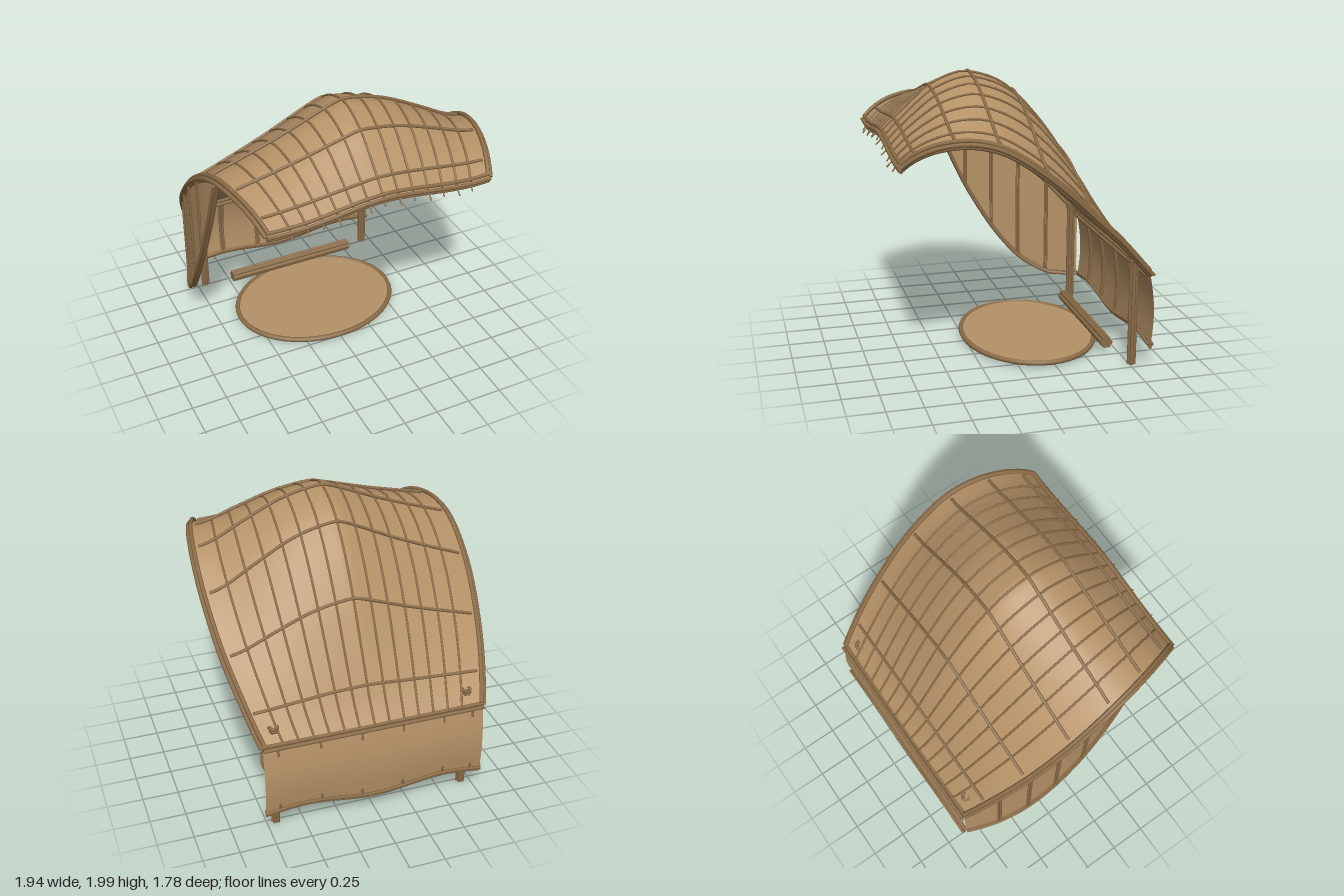
import * as THREE from 'three';
import { ParametricGeometry } from 'three/addons/geometries/ParametricGeometry.js';

const V = (x, y, z) => new THREE.Vector3(x, y, z);

// smooth interpolation through [position, value] pairs in rising order
function profile(pts) {
  const slope = (i) => {
    const a = pts[Math.max(i - 1, 0)], b = pts[Math.min(i + 1, pts.length - 1)];
    return (b[1] - a[1]) / (b[0] - a[0]);
  };
  return (x) => {
    let i = 0;
    while (i < pts.length - 2 && x > pts[i + 1][0]) i++;
    const [x0, y0] = pts[i], [x1, y1] = pts[i + 1];
    const h = x1 - x0, t = Math.min(Math.max((x - x0) / h, 0), 1), t2 = t * t, t3 = t2 * t;
    return y0 * (2 * t3 - 3 * t2 + 1) + h * slope(i) * (t3 - 2 * t2 + t)
      + y1 * (3 * t2 - 2 * t3) + h * slope(i + 1) * (t3 - t2);
  };
}

// canopy shape: ridge line, side edge, crossways bump and half width, all along z
const BACK = -0.85, FRONT = 0.83;
const ridge = profile([[-0.85, 0.69], [-0.75, 0.82], [-0.6, 1.09], [-0.41, 1.43], [-0.2, 1.72],
  [0, 1.895], [0.22, 1.97], [0.33, 1.96], [0.5, 1.885], [0.6, 1.8], [0.74, 1.66], [0.83, 1.56]]);
const edge = profile([[-0.85, 0.68], [-0.6, 0.955], [-0.4, 1.145], [-0.2, 1.335], [0, 1.495],
  [0.2, 1.62], [0.4, 1.67], [0.6, 1.65], [0.75, 1.59], [0.83, 1.53]]);
const bump = profile([[-1, 0], [-0.63, 0.34], [-0.42, 0.55], [-0.04, 0.97], [0.04, 1],
  [0.32, 0.83], [0.63, 0.43], [0.84, 0.13], [1, 0]]);
const halfWidth = (z) => 0.95 - 0.165 * (z / 0.84) ** 2;
const lower = profile([[-0.85, 0.165], [-0.7, 0.165], [-0.6, 0.185], [-0.4, 0.31], [-0.2, 0.545],
  [0, 0.87], [0.1, 1.07], [0.2, 1.3], [0.32, 1.63]]);

function roof(u, z, lift = 0) {
  const x = u * halfWidth(z);
  const wave = 0.02 * Math.cos(Math.PI * x / 0.6) * Math.exp((z - FRONT) / 0.1);
  return V(x, edge(z) + (ridge(z) - edge(z)) * bump(u) + wave + lift, z);
}
// back panel: x across, t from top (0) to bottom (1)
function back(x, t, dz = 0) {
  const bottom = 0.163 - 0.025 * Math.cos(Math.PI * x / 0.5);
  return V(x, 0.67 + (bottom - 0.67) * t, -0.85 - 0.025 * Math.sin(Math.PI * t) - 0.018 * t + dz);
}

export function createModel() {
  const model = new THREE.Group();
  const panelMat = new THREE.MeshStandardMaterial({ color: 0xb59267, side: THREE.DoubleSide });
  panelMat.name = 'woven tan';
  const caneMat = new THREE.MeshStandardMaterial({ color: 0x8c6d48 });
  caneMat.name = 'cane brown';

  const add = (name, geo, mat, parent = model) => {
    const m = new THREE.Mesh(geo, mat);
    m.name = name;
    parent.add(m);
    return m;
  };
  const group = (name) => {
    const g = new THREE.Group();
    g.name = name;
    model.add(g);
    return g;
  };
  const sheet = (name, fn, nu, nv) =>
    add(name, new ParametricGeometry((a, b, out) => out.copy(fn(a, b)), nu, nv), panelMat);
  // capped cane following fn(t), t from 0 to 1
  const cane = (name, fn, r, parent, n = 36) => {
    const pts = Array.from({ length: n + 1 }, (_, i) => fn(i / n));
    add(name, new THREE.TubeGeometry(new THREE.CatmullRomCurve3(pts), n, r, 7), caneMat, parent);
    for (const [p, q] of [[pts[0], pts[1]], [pts[n], pts[n - 1]]]) {
      const cap = add(name + 'End', new THREE.CircleGeometry(r, 7), caneMat, parent);
      cap.position.copy(p);
      cap.lookAt(p.clone().multiplyScalar(2).sub(q));
    }
  };
  const bundle = (name, fn, offsets, r, parent, n) =>
    offsets.forEach((o) => cane(name, (t) => fn(t).add(V(...o)), r, parent, n));
  const zAt = (t) => THREE.MathUtils.lerp(BACK, FRONT, t);

  // canopy sheet
  sheet('canopy', (a, b) => roof(2 * a - 1, zAt(b)), 40, 40);

  // canopy ribs, lengthways and crossways
  const ribs = group('canopyRibs');
  for (let i = 0; i < 13; i++) {
    const u = -0.8 + i * 0.135;
    cane('longRib', (t) => roof(u, zAt(t), 0.006), 0.008, ribs);
    const p = roof(u, FRONT);
    cane('ribTip', (t) => V(p.x, p.y - 0.05 * t, p.z + (0.03 + 0.02 * (i % 2)) * t), 0.005, ribs, 2);
  }
  for (const z of [-0.7, -0.42, -0.09, 0.22, 0.5, 0.74])
    cane('crossRib', (t) => roof(1.9 * t - 0.95, z, 0.012), 0.011, ribs);

  // bundled side edges and front lip
  const rim = group('canopyRim');
  for (const s of [-1, 1])
    bundle('sideEdge', (t) => roof(s, zAt(t)),
      [[0.008 * s, 0, 0], [-0.012 * s, 0.022, 0], [-0.012 * s, -0.02, 0]], 0.015, rim);
  bundle('frontLip', (t) => roof(2 * t - 1, FRONT),
    [[0, 0, 0.014], [0, 0.026, -0.003], [0, -0.024, 0]], 0.013, rim);

  // curved wall on one side
  const wallZ = (t) => THREE.MathUtils.lerp(BACK, 0.32, t);
  const wall = (z, t, dx = 0) =>
    V(-halfWidth(z) + 0.01 + dx, THREE.MathUtils.lerp(lower(z), edge(z), t), z);
  sheet('sideWall', (a, b) => wall(wallZ(a), b), 32, 4);
  const wallCanes = group('sideWallCanes');
  bundle('lowerEdge', (t) => wall(wallZ(t), 0),
    [[0.014, 0, 0], [-0.014, 0, 0], [0, 0.02, 0.005]], 0.013, wallCanes);
  for (const z of [0.03, -0.18, -0.39, -0.61])
    for (const dx of [0.011, -0.011])
      for (const dz of [-0.008, 0.008])
        cane('wallBatten', (t) => wall(z + dz, t, dx), 0.008, wallCanes, 2);

  // back panel with rails and battens
  sheet('backPanel', (a, b) => back(0.78 * (2 * a - 1), b), 32, 12);
  const backCanes = group('backCanes');
  const across = (t) => 0.78 * (2 * t - 1);
  bundle('topRail', (t) => back(across(t), 0),
    [[0, 0.016, 0.008], [0, -0.016, 0.01], [0, 0.004, -0.022]], 0.014, backCanes, 4);
  bundle('bottomRail', (t) => back(across(t), 1), [[0, 0.008, 0.014], [0, -0.012, 0], [0, 0.008, -0.012]], 0.012, backCanes);
  for (const x of [-0.49, -0.195, 0.1, 0.39]) {
    for (const dx of [-0.009, 0.009])
      cane('backBatten', (t) => back(x + dx, t, 0.012), 0.01, backCanes, 12);
  }
  for (const x of [-0.7, -0.49, -0.195, 0.1, 0.39, 0.68])
    for (const t0 of [0, 0.88])
      cane('battenTie', (t) => back(x, t0 + 0.12 * t, -0.008), 0.008, backCanes, 3);

  // bundled posts with flared tops
  for (const s of [-1, 1]) {
    const post = group(s > 0 ? 'leftPost' : 'rightPost');
    for (let i = 0; i < 5; i++) {
      const a = i * Math.PI * 0.4 + 0.3, c = Math.cos(a), d = Math.sin(a);
      cane('postCane', (t) => {
        const r = 0.018 + 0.01 * Math.max(0, (t - 0.92) / 0.08);
        return V(0.685 * s + c * r, 0.785 * t, -0.768 + d * r);
      }, 0.014, post, 25);
    }
    for (const y of [0.755, 0.775]) {
      const tie = add('postTie', new THREE.TorusGeometry(0.034, 0.006, 6, 14), caneMat, post);
      tie.rotation.x = Math.PI / 2;
      tie.position.set(0.685 * s, y, -0.768);
    }
  }

  // low bench log made of bundled canes
  const bench = group('benchBundle');
  for (let i = 0; i < 7; i++) {
    const a = i * Math.PI / 3, r = i < 6 ? 0.028 : 0;
    cane('benchCane', (t) => V(t - 0.5, 0.09 + r * Math.sin(a), -0.655 + r * Math.cos(a)), 0.016, bench, 2);
  }

  // oval floor mat with a rim
  const mat = add('floorMat', new THREE.CylinderGeometry(1, 1, 0.014, 56), panelMat);
  mat.scale.set(0.605, 1, 0.475);
  mat.position.set(0, 0.033, -0.21);
  const ring = new THREE.CatmullRomCurve3(Array.from({ length: 32 }, (_, i) => {
    const a = i * Math.PI / 16;
    return V(0.603 * Math.cos(a), 0.033, -0.21 + 0.475 * Math.sin(a));
  }), true);
  add('floorMatRim', new THREE.TubeGeometry(ring, 64, 0.018, 8, true), caneMat);

  return model;
}
